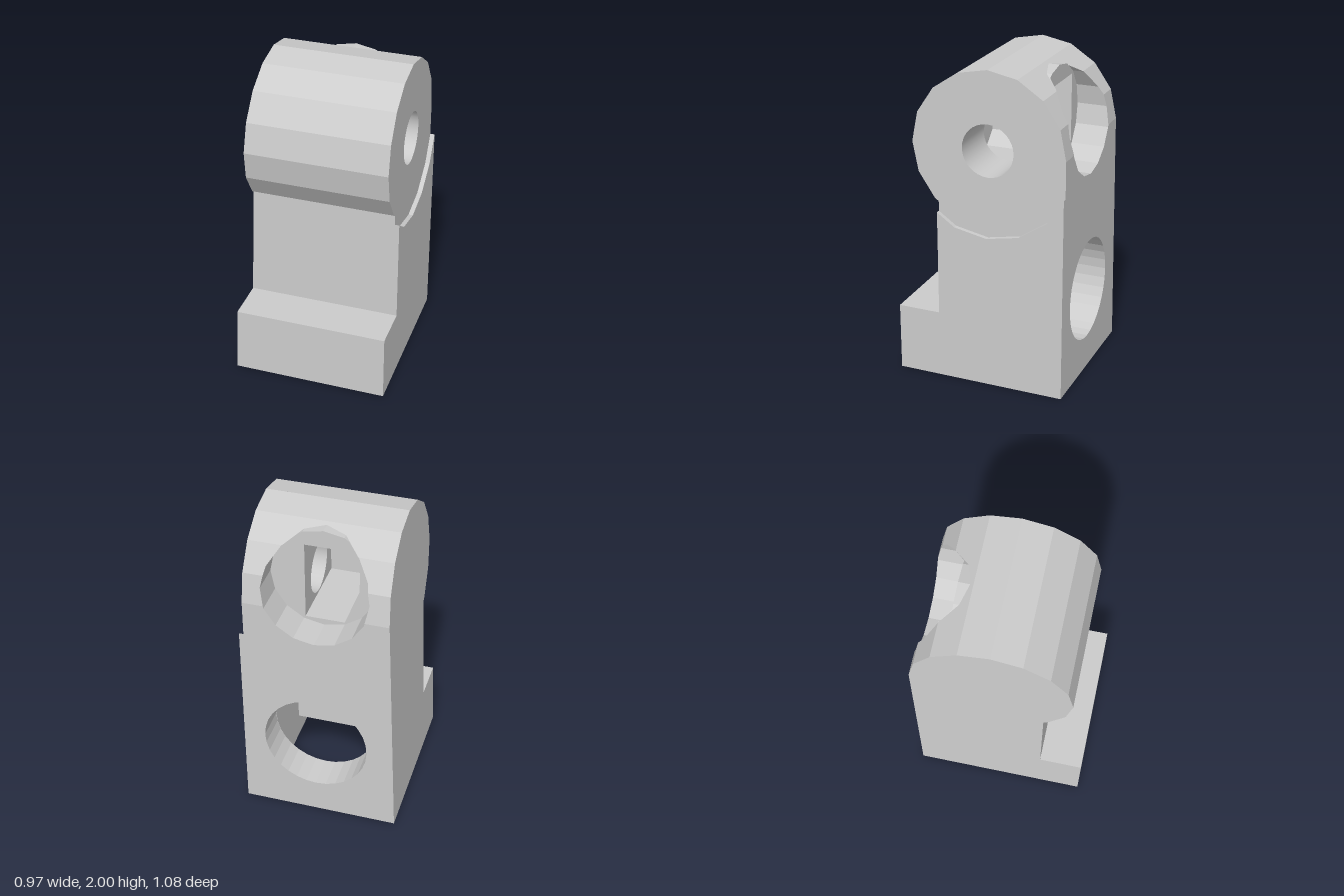
import * as THREE from 'three';

const BACK = -0.535, DEPTH = -0.325, FACE_X = 0.457, SIDE_X = 0.485;
const CX = 0.025, AXIS_Y = 1.515, AXIS_Z = -0.05, R = 0.485;
const slantX = (y) => -0.485 + 0.04 * y;

const material = new THREE.MeshStandardMaterial({ color: 0xcccccc, side: THREE.DoubleSide });

function add(group, name, geometry) {
  const mesh = new THREE.Mesh(geometry, material);
  mesh.name = name;
  group.add(mesh);
  return mesh;
}

// Flat shaded quads, each given as four [x, y, z] corners
function quadGeometry(quads) {
  const pos = [];
  for (const [a, b, c, d] of quads) pos.push(...a, ...b, ...c, ...a, ...c, ...d);
  const g = new THREE.BufferGeometry();
  g.setAttribute('position', new THREE.Float32BufferAttribute(pos, 3));
  g.computeVertexNormals();
  return g;
}

// A [z, y] path swept along x between two limits
function sweepX(path, xa, xb) {
  const quads = [];
  for (let i = 0; i + 1 < path.length; i++) {
    const [z0, y0] = path[i], [z1, y1] = path[i + 1];
    quads.push([[xa(y0), y0, z0], [xb, y0, z0], [xb, y1, z1], [xa(y1), y1, z1]]);
  }
  return quadGeometry(quads);
}

// Flat polygon with optional holes, each corner placed by a rule
function flatFace(points, holes, place) {
  const shape = new THREE.Shape(points.map((p) => new THREE.Vector2(...p)));
  for (const h of holes) shape.holes.push(new THREE.Path(h.map((p) => new THREE.Vector2(...p))));
  const g = new THREE.ShapeGeometry(shape);
  const pos = g.attributes.position;
  for (let i = 0; i < pos.count; i++) pos.setXYZ(i, ...place(pos.getX(i), pos.getY(i)));
  g.computeVertexNormals();
  return g;
}

// Regular polygon with a corner at the top
function ring(cx, cy, r, n) {
  return Array.from({ length: n }, (_, i) => {
    const a = (i / n) * Math.PI * 2;
    return [cx + r * Math.sin(a), cy + r * Math.cos(a)];
  });
}

// Linear interpolation through [key, value] points with rising keys
function lookup(points, k) {
  for (let i = 0; i + 1 < points.length; i++) {
    const [k0, v0] = points[i], [k1, v1] = points[i + 1];
    if (k <= k1 + 1e-9) return v0 + ((v1 - v0) * (k - k0)) / (k1 - k0);
  }
  return points[points.length - 1][1];
}

export function createModel() {
  const group = new THREE.Group();
  const barrel = ring(AXIS_Z, AXIS_Y, R, 16);

  // Outline of the limb in z and y
  const front = [[0.54, 0], [0.54, 0.43], [0.27, 0.43], [0.27, 1.157],
    ...barrel.slice(0, 7).reverse()];
  const backUpper = barrel.slice(12).concat([barrel[0]]);
  const outline = [...front, ...barrel.slice(12).reverse(), [BACK, 0]];
  add(group, 'frontAndBarrelSkin', sweepX(front, slantX, FACE_X));
  add(group, 'slantedSide', flatFace(outline, [], (z, y) => [slantX(y), y, z]));
  const pinRing = ring(AXIS_Z, AXIS_Y, 0.163, 32);
  add(group, 'hipFace', flatFace(outline, [pinRing], (z, y) => [FACE_X, y, z]));

  // Raised side panel below the round hip face
  const panel = new THREE.Shape([[0.54, 0], [0.54, 0.43], [0.27, 0.43], [0.27, 1.095],
    [0.157, 1.016], [-0.05, 0.975], [-0.257, 1.016], [-0.432, 1.133], [BACK, 1.29], [BACK, 0]]
    .map((p) => new THREE.Vector2(...p)));
  const panelGeo = new THREE.ExtrudeGeometry(panel, { depth: SIDE_X - FACE_X, bevelEnabled: false });
  panelGeo.rotateY(-Math.PI / 2);
  panelGeo.translate(SIDE_X, 0, 0);

  // Back skin in rows, leaving out two round holes and lining them
  const backZ = (y) => (y <= AXIS_Y ? BACK : lookup(backUpper.map(([z, yy]) => [yy, z]), y));
  const holes = [{ y: 0.54, r: 0.325, n: 32 }, { y: 1.625, r: 0.325, n: 16 }];
  const levels = [0, ...backUpper.map((p) => p[1]), 1.907];
  for (const h of holes) {
    h.half = [];
    for (let i = h.n / 2; i >= 0; i--) {
      const a = (i / h.n) * Math.PI * 2;
      h.half.push([h.y + h.r * Math.cos(a), h.r * Math.sin(a)]);
      levels.push(h.y + h.r * Math.cos(a));
    }
  }
  levels.sort((a, b) => a - b);
  const skin = [], lining = [];
  for (let i = 0; i + 1 < levels.length; i++) {
    const y0 = levels[i], y1 = levels[i + 1];
    if (y1 - y0 < 1e-5) continue;
    const z0 = backZ(y0), z1 = backZ(y1), mid = (y0 + y1) / 2;
    const hole = holes.find((h) => Math.abs(mid - h.y) < h.r);
    const w0 = hole ? lookup(hole.half, y0) : 0, w1 = hole ? lookup(hole.half, y1) : 0;
    skin.push([[CX - w0, y0, z0], [slantX(y0), y0, z0], [slantX(y1), y1, z1], [CX - w1, y1, z1]]);
    skin.push([[FACE_X, y0, z0], [CX + w0, y0, z0], [CX + w1, y1, z1], [FACE_X, y1, z1]]);
    if (!hole) continue;
    for (const s of [-1, 1]) {
      lining.push([[CX + s * w0, y0, z0], [CX + s * w0, y0, DEPTH],
        [CX + s * w1, y1, DEPTH], [CX + s * w1, y1, z1]]);
    }
  }
  // Rows that shrink to a point make zero-area triangles, so keep their normals finite
  add(group, 'backSkin', quadGeometry(skin));
  add(group, 'backHoleLinings', quadGeometry(lining));
  add(group, 'sidePanel', panelGeo);

  // Base rim around the open bottom
  const xa = -0.3, xb = 0.35;
  add(group, 'baseRim', flatFace(
    [[-0.485, BACK], [FACE_X, BACK], [FACE_X, 0.54], [-0.485, 0.54]],
    [[[xa, DEPTH], [xb, DEPTH], [xb, 0.33], [xa, 0.33]]], (x, z) => [x, 0, z]));
  // Matching opening is within the panel-free width, so the panel closes the rest

  // Stepped hollow inside the lower body
  const hollow = [[DEPTH, 1.07], [0.115, 1.07], [0.115, 0.16], [0.33, 0.16], [0.33, 0]];
  add(group, 'hollowWalls', sweepX(hollow, () => xa, xb));
  for (const x of [xa, xb]) {
    add(group, 'hollowSide', flatFace([...hollow, [DEPTH, 0]], [], (z, y) => [x, y, z]));
  }
  add(group, 'hollowBack', flatFace([[xa, 0], [xb, 0], [xb, 1.07], [xa, 1.07]],
    [ring(CX, 0.54, 0.323, 32)], (x, y) => [x, y, DEPTH]));

  // Upper socket floor with a window into the pin pocket
  const windowShape = [[0.14, 1.34], [0.14, 1.84], [-0.19, 1.84], [-0.19, 1.42], [-0.1, 1.34]];
  const pocketFront = 0.2;
  add(group, 'socketFloor', flatFace(ring(CX, 1.625, 0.325, 16), [windowShape],
    (x, y) => [x, y, DEPTH]));
  const pocket = [];
  for (let i = 1; i < windowShape.length; i++) {
    const [x0, y0] = windowShape[i], [x1, y1] = windowShape[(i + 1) % windowShape.length];
    pocket.push([[x0, y0, DEPTH], [x0, y0, pocketFront], [x1, y1, pocketFront], [x1, y1, DEPTH]]);
  }
  add(group, 'pocketWalls', quadGeometry(pocket));
  add(group, 'pocketFront', flatFace(windowShape, [], (x, y) => [x, y, pocketFront]));
  add(group, 'pocketPinWall', flatFace(
    [[DEPTH, 1.34], [pocketFront, 1.34], [pocketFront, 1.84], [DEPTH, 1.84]],
    [pinRing], (z, y) => [0.14, y, z]));

  // Round pin bore from the hip face into the pocket
  const bore = new THREE.CylinderGeometry(0.163, 0.163, FACE_X - 0.14, 32, 1, true);
  bore.rotateZ(Math.PI / 2);
  add(group, 'pinBore', bore).position.set((FACE_X + 0.14) / 2, AXIS_Y, AXIS_Z);

  return group;
}
